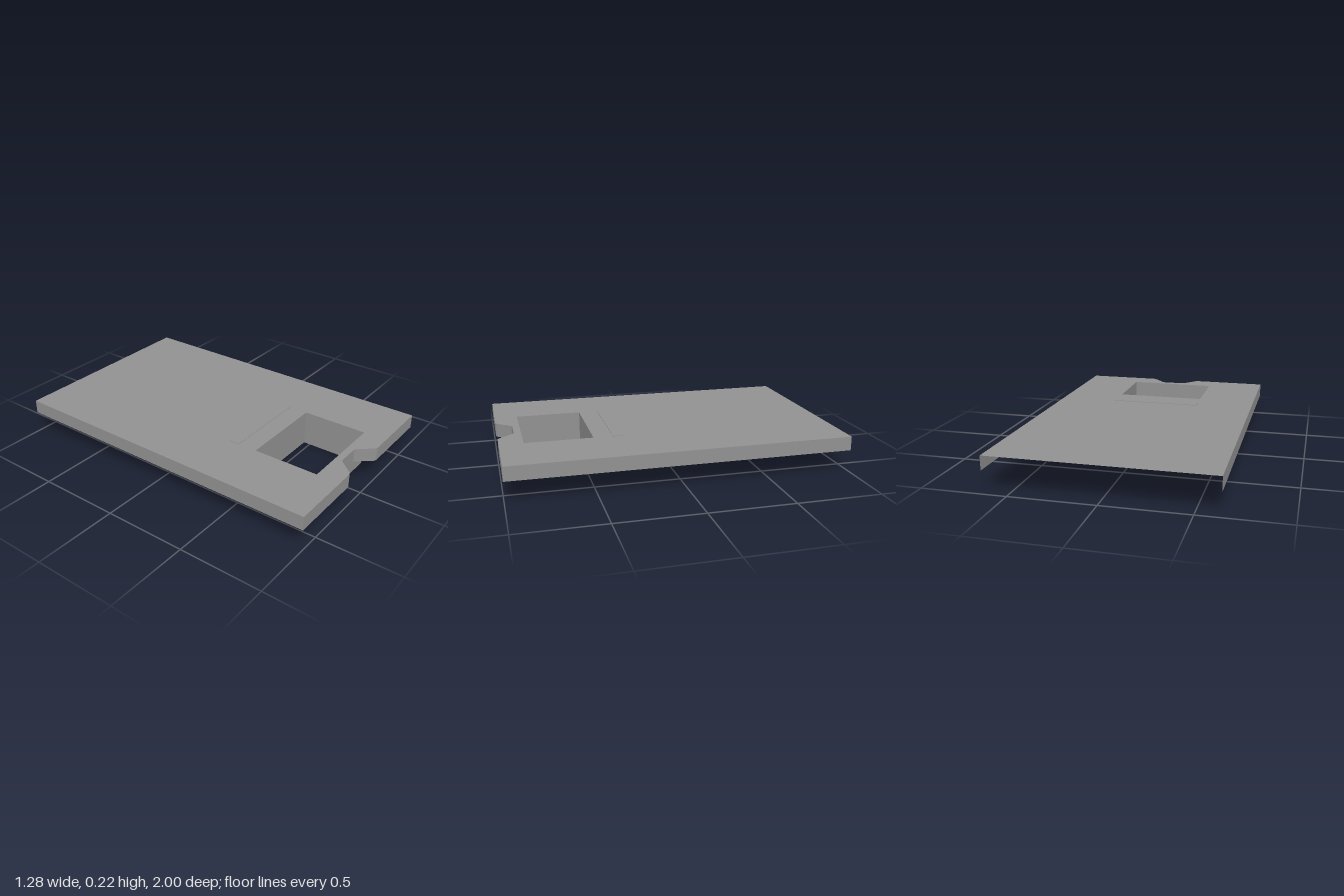
import * as THREE from 'three';

const TOP = 0.217, RIM = 0.133, STRIP_TOP = 0.22;
const material = new THREE.MeshStandardMaterial({ color: 0x919191, flatShading: true, side: THREE.DoubleSide });

// Thin upright wall following a path of [x, z] points
function wall(name, path, y0, y1) {
  const positions = [];
  for (let i = 0; i < path.length - 1; i++) {
    const [ax, az] = path[i], [bx, bz] = path[i + 1];
    positions.push(ax, y0, az, bx, y0, bz, bx, y1, bz, ax, y0, az, bx, y1, bz, ax, y1, az);
  }
  const geometry = new THREE.BufferGeometry();
  geometry.setAttribute('position', new THREE.Float32BufferAttribute(positions, 3));
  geometry.computeVertexNormals();
  return named(name, geometry);
}

// Thin level sheet inside an outline, with optional holes
function sheet(name, outline, holes, y) {
  const toPoints = (list) => list.map(([x, z]) => new THREE.Vector2(x, -z));
  const shape = new THREE.Shape(toPoints(outline));
  for (const hole of holes) shape.holes.push(new THREE.Path(toPoints(hole)));
  return named(name, new THREE.ShapeGeometry(shape).rotateX(-Math.PI / 2).translate(0, y, 0));
}

function named(name, geometry) {
  const mesh = new THREE.Mesh(geometry, material);
  mesh.name = name;
  return mesh;
}

const rectangle = (x0, x1, z0, z1) => [[x0, z0], [x0, z1], [x1, z1], [x1, z0]];
const closed = (path) => [...path, path[0]];

// Replaces a corner by a small curve that starts and ends at distance r from it
function rounded(before, corner, after, r) {
  const [a, c, b] = [before, corner, after].map(([x, z]) => new THREE.Vector2(x, z));
  const start = a.sub(c).setLength(r).add(c);
  const end = b.sub(c).setLength(r).add(c);
  return new THREE.QuadraticBezierCurve(start, c, end).getPoints(5).map((p) => [p.x, p.y]);
}

export function createModel() {
  const group = new THREE.Group();
  group.name = 'trayCover';

  // Outline from the back left corner round the softly notched front edge
  const corners = [
    [-0.638, -1], [-0.638, 1], [-0.16, 1], [-0.075, 0.902],
    [0.075, 0.902], [0.16, 1], [0.638, 1], [0.638, -1],
  ];
  const outline = corners.flatMap((corner, i) =>
    i > 1 && i < 6 ? rounded(corners[i - 1], corner, corners[i + 1], 0.014) : [corner]);
  const opening = rectangle(-0.277, 0.275, 0.46, 0.86);
  const strip = rectangle(-0.283, 0.283, 0.28, 0.344);

  // Top sheet with the opening and the raised strip cut out
  group.add(sheet('topSheet', outline, [opening, strip], TOP));

  // Skirt on the front and sides, open at the back
  group.add(wall('skirt', outline, RIM, TOP));

  // Open collar hanging below the opening
  group.add(wall('collar', closed(opening), 0, TOP));

  // Slightly embossed strip behind the opening, hollow underneath
  group.add(sheet('stripTop', strip, [], STRIP_TOP));
  group.add(wall('stripSides', closed(strip), TOP, STRIP_TOP));

  return group;
}
